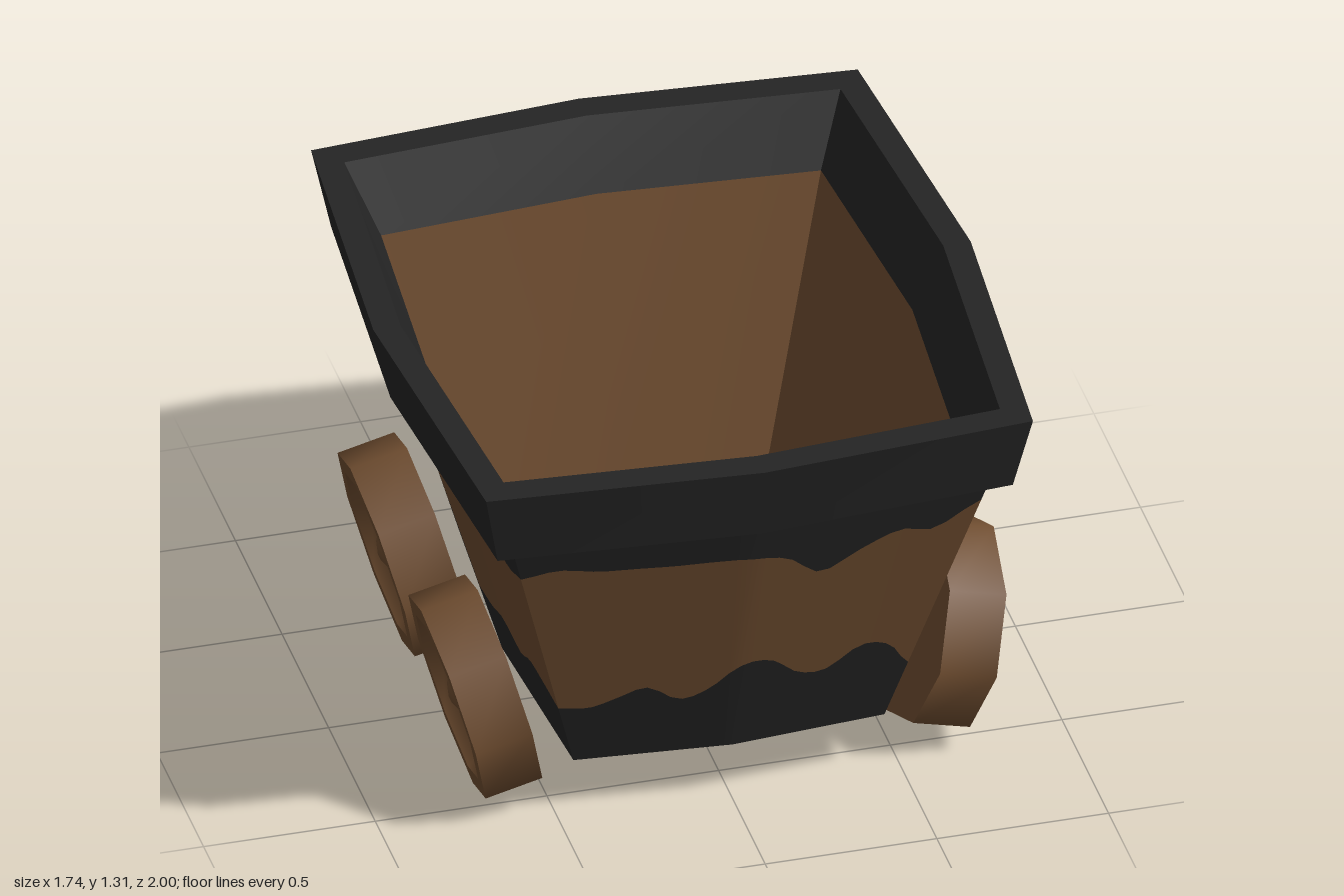
import * as THREE from 'three';
import { toCreasedNormals } from 'three/addons/utils/BufferGeometryUtils.js';

const brown = new THREE.MeshStandardMaterial({ color: 0x6f4d30 });
brown.name = 'brown wood';
const black = new THREE.MeshStandardMaterial({ color: 0x242424 });
black.name = 'black iron';

const lerp = THREE.MathUtils.lerp;
const SEG = 32; // samples along each side of the tub

// Point on the bulged four-sided outline: halfX and halfZ reach the middle of each side.
function outlinePoint(side, t, halfX, halfZ, y) {
  const cx = halfX * 0.915, cz = halfZ * 0.94;
  const a = 2 * t - 1, bulge = 1 - Math.abs(a);
  const turn = side < 2 ? 1 : -1;
  const x = side % 2 === 0 ? a * cx : lerp(cx, halfX, bulge);
  const z = side % 2 === 0 ? lerp(cz, halfZ, bulge) : -a * cz;
  return [turn * x, y, turn * z];
}

// Closed ring of points; sizeAt gives [halfX, halfZ, y] at each place.
function ring(sizeAt, seg) {
  const pts = [];
  for (let side = 0; side < 4; side++)
    for (let i = 0; i < seg; i++) pts.push(outlinePoint(side, i / seg, ...sizeAt(side, i / seg)));
  return pts;
}
const flatRing = (halfX, halfZ, y, seg) => ring(() => [halfX, halfZ, y], seg);

// Skin a list of rings
function loft(rings, crease = 0.6) {
  const n = rings[0].length, index = [];
  for (let r = 0; r < rings.length - 1; r++)
    for (let i = 0; i < n; i++) {
      const j = (i + 1) % n, a = r * n + i, b = r * n + j;
      index.push(a, b, b + n, a, b + n, a + n);
    }
  const g = new THREE.BufferGeometry();
  g.setAttribute('position', new THREE.Float32BufferAttribute(rings.flat(2), 3));
  g.setIndex(index);
  return toCreasedNormals(g, crease);
}

function part(name, geometry, material) {
  const m = new THREE.Mesh(geometry, material);
  m.name = name;
  return m;
}

// Tub wall size at a height
const BOTTOM = 0.18, TOP = 1.09;
function wallSize(y) {
  const k = (y - BOTTOM) / (TOP - BOTTOM);
  return [lerp(0.495, 0.765, k), lerp(0.65, 0.91, k), y];
}

// Ring on the tub wall following wavy heights, the same on opposite sides
function wavyRing(frontHeights, sideHeights) {
  const curves = [frontHeights, sideHeights].map(h =>
    new THREE.SplineCurve(h.map((y, i) => new THREE.Vector2(i, y))));
  return ring((side, t) => wallSize(curves[side % 2].getPoint(t).y), SEG);
}

function makeWheel() {
  const wheel = new THREE.Group();
  const profile = [
    [0, -0.085], [0.31, -0.085], [0.31, 0.085], [0.25, 0.085],
    [0.225, 0.035], [0.1, -0.01], [0, -0.01],
  ].map(p => new THREE.Vector2(...p));
  const disc = toCreasedNormals(new THREE.LatheGeometry(profile, 8), 0.95);
  disc.rotateZ(-Math.PI / 2);
  wheel.add(part('wheelDisc', disc, brown));
  const hub = new THREE.SphereGeometry(0.085, 16, 12);
  hub.translate(-0.005, 0, 0);
  wheel.add(part('wheelHub', hub, brown));
  return wheel;
}

export function createModel() {
  const cart = new THREE.Group();
  cart.name = 'mineCart';

  // Outer tub: iron base, wooden band and iron top with ragged borders
  const lower = wavyRing(
    [0.40, 0.39, 0.42, 0.45, 0.39, 0.42, 0.50, 0.50, 0.43, 0.42, 0.49, 0.47, 0.38],
    [0.38, 0.45, 0.40, 0.43, 0.38, 0.42, 0.40, 0.40, 0.43, 0.38, 0.43, 0.42, 0.40]);
  const upper = wavyRing(
    [0.95, 0.97, 0.95, 0.945, 0.94, 0.94, 0.935, 0.91, 0.83, 0.89, 0.94, 0.92, 1.0],
    [1.0, 0.98, 0.85, 0.88, 0.92, 0.97, 0.98, 0.97, 0.91, 0.94, 0.95, 0.90, 0.95]);
  const base = flatRing(0.495, 0.65, BOTTOM, SEG);
  cart.add(part('tubBase', loft([flatRing(0, 0, BOTTOM, SEG), base, lower]), black));
  cart.add(part('tubWoodBand', loft([lower, upper]), brown));
  cart.add(part('tubTopBand', loft([upper, ring(() => wallSize(TOP), SEG)]), black));

  // Inside walls and floor
  cart.add(part('tubInterior', loft([
    flatRing(0.70, 0.81, 1.11, 2), flatRing(0.46, 0.61, 0.21, 2), flatRing(0, 0, 0.21, 2),
  ], 1.0), brown));

  // Heavy rim flaring outwards
  cart.add(part('rim', loft([
    flatRing(0.75, 0.89, 1.065, 2), flatRing(0.82, 0.95, 1.075, 2),
    flatRing(0.87, 1.0, 1.31, 2), flatRing(0.79, 0.91, 1.31, 2), flatRing(0.70, 0.81, 1.11, 2),
  ]), black));

  // Four wheels leaning with the tub walls
  for (const [sideName, s] of [['Left', 1], ['Right', -1]])
    for (const [endName, z] of [['front', 0.38], ['back', -0.38]]) {
      const wheel = makeWheel();
      wheel.name = endName + sideName + 'Wheel';
      wheel.position.set(s * 0.676, 0.32, z);
      wheel.rotation.set(0, s > 0 ? 0 : Math.PI, -0.245, 'YXZ');
      cart.add(wheel);
    }
  return cart;
}
